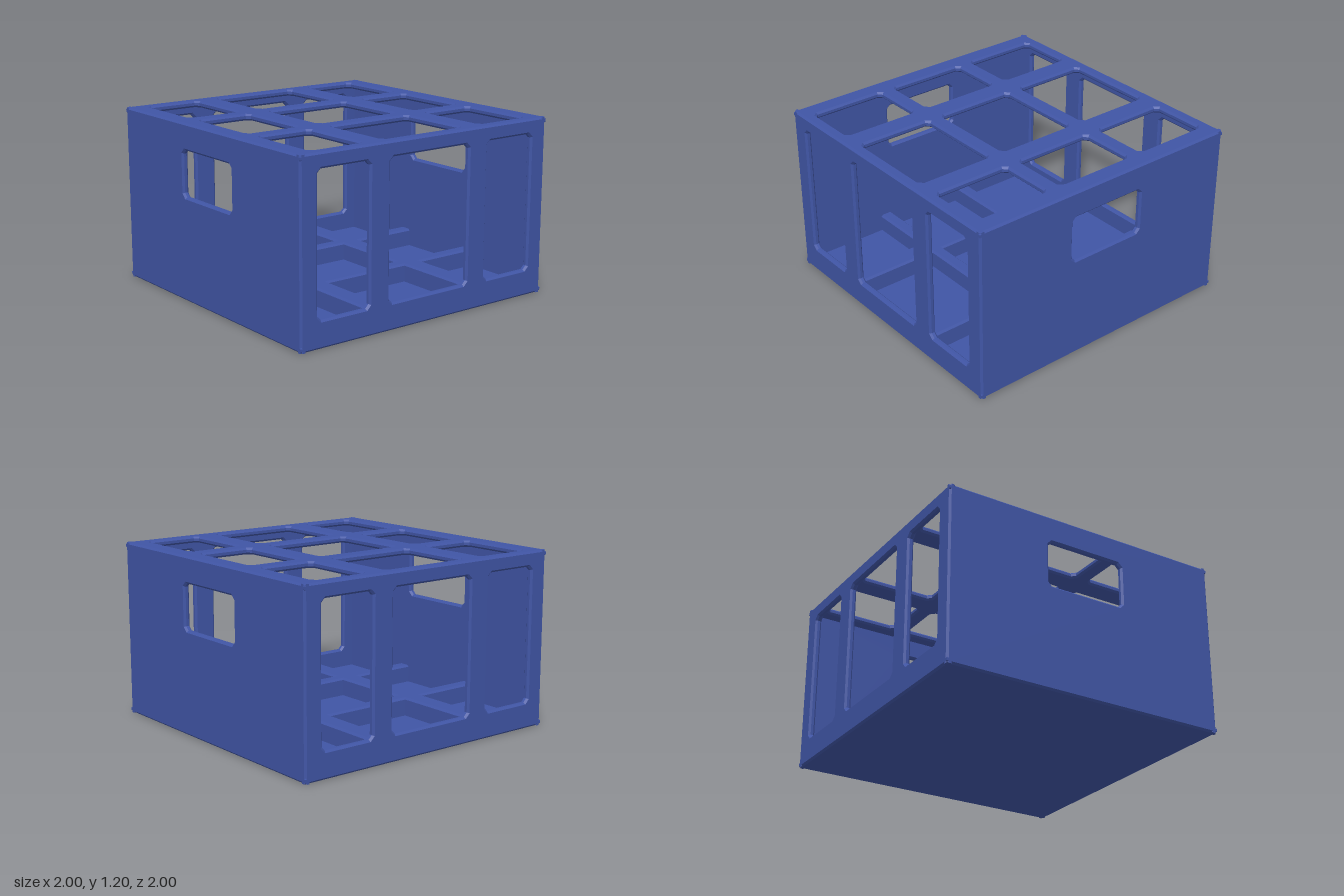
import * as THREE from 'three';

const T = 0.045;   // panel thickness
const B = 0.013;   // edge chamfer
const H = 1.2;     // crate height
const material = new THREE.MeshStandardMaterial({ color: 0x4055a5, flatShading: true });

// Rectangle with cut corners, c = 0 keeps them square
function rectPath(path, [x0, x1, y0, y1], c) {
  path.moveTo(x0 + c, y0);
  path.lineTo(x1 - c, y0);
  if (c) path.lineTo(x1, y0 + c);
  path.lineTo(x1, y1 - c);
  if (c) path.lineTo(x1 - c, y1);
  path.lineTo(x0 + c, y1);
  if (c) path.lineTo(x0, y1 - c);
  path.lineTo(x0, y0 + c);
  path.closePath();
  return path;
}

// Chamfered slab in the xy plane, centred in z, with cut-corner openings
function panel(bounds, holes = [], thickness = T) {
  const shape = rectPath(new THREE.Shape(), bounds, 0);
  holes.forEach((h) => shape.holes.push(rectPath(new THREE.Path(), h, 0.025)));
  const geometry = new THREE.ExtrudeGeometry(shape, {
    depth: thickness - 2 * B, bevelEnabled: true, bevelSegments: 1,
    bevelSize: B, bevelThickness: B, bevelOffset: -B,
  });
  return geometry.translate(0, 0, B - thickness / 2);
}

export function createModel() {
  const crate = new THREE.Group();
  crate.name = 'crate';
  const add = (name, geometry, x, y, z) => {
    const mesh = new THREE.Mesh(geometry, material);
    mesh.name = name;
    mesh.position.set(x, y, z);
    crate.add(mesh);
  };

  const columns = [[-0.92, -0.39], [-0.28, 0.28], [0.39, 0.92]];
  const rows = [[-0.87, -0.48], [-0.32, 0.32], [0.48, 0.87]];

  // Front and back walls with hand holes
  const endWall = panel([-1, 1, 0, H], [[-0.28, 0.28, 0.71, 1.02]]);
  add('frontWall', endWall, 0, 0, 1 - T / 2);
  add('backWall', endWall, 0, 0, -1 + T / 2);

  // Side walls with three tall windows each
  const sideWall = panel([-1, 1, 0, H], rows.map(([a, b]) => [a, b, 0.18, 1.1]));
  sideWall.rotateY(Math.PI / 2);
  add('leftWall', sideWall, 1 - T / 2, 0, 0);
  add('rightWall', sideWall, -1 + T / 2, 0, 0);

  // Top grid with nine openings
  const cells = columns.flatMap(([x0, x1]) => rows.map(([z0, z1]) => [x0, x1, z0, z1]));
  add('topGrid', panel([-1, 1, -1, 1], cells).rotateX(-Math.PI / 2), 0, H - T / 2, 0);

  // Solid floor
  add('floor', panel([-1, 1, -1, 1]).rotateX(-Math.PI / 2), 0, T / 2, 0);

  // Low dividers crossing on the floor
  const top = 0.17, bottom = 0.02, inner = 1 - T / 2;
  const divider = (w, d) =>
    panel([-w / 2, w / 2, -d / 2, d / 2], [], top - bottom).rotateX(-Math.PI / 2);
  for (const s of [-1, 1]) {
    add('crossDivider', divider(2 * inner, 0.14), 0, (top + bottom) / 2, s * 0.4);
    add('lengthDivider', divider(0.09, 2 * inner), s * 0.335, (top + bottom) / 2, 0);
  }
  return crate;
}
